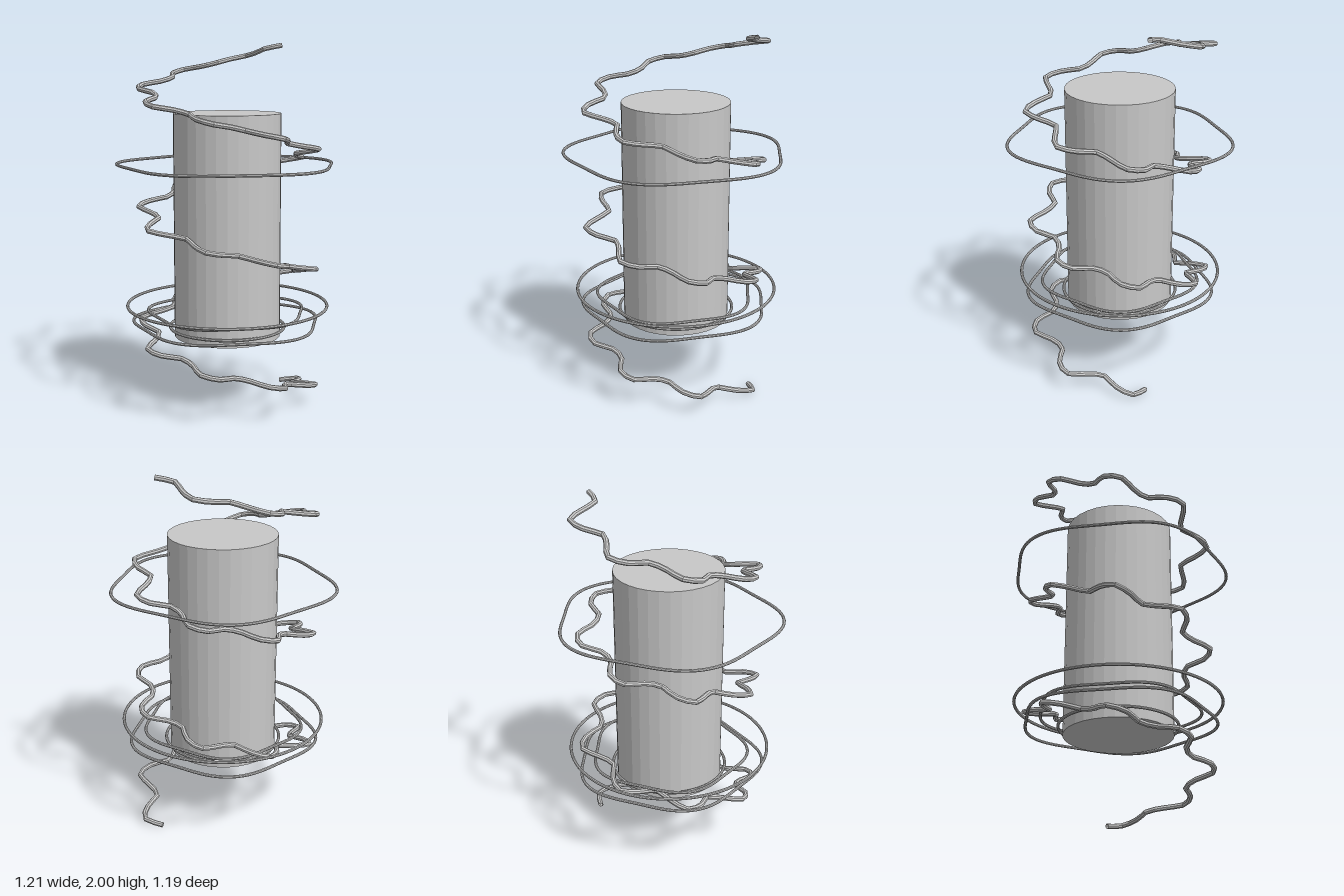
import * as THREE from 'three';

const CENTER_Z = -0.025;

// closed horizontal loop whose radius swells gently in five lobes (one lobe to the front)
function ringCurve(radius, lobe) {
  const pts = [];
  for (let i = 0; i < 60; i++) {
    const a = (i / 60) * Math.PI * 2;
    const r = radius + lobe * Math.cos(5 * a);
    pts.push(new THREE.Vector3(r * Math.sin(a), 0, r * Math.cos(a)));
  }
  return new THREE.CatmullRomCurve3(pts, true);
}

// rising coil of three turns, with eight waves in each turn
function coilCurve() {
  const pts = [];
  const n = 100;
  for (let i = 0; i <= n; i++) {
    const t = i / n;
    const a = t * Math.PI * 6;
    const r = 0.442 + 0.062 * Math.sin(8 * a);
    pts.push(new THREE.Vector3(r * Math.cos(a), 0.014 + 1.972 * t, r * Math.sin(a)));
  }
  return new THREE.CatmullRomCurve3(pts);
}

export function createModel() {
  const model = new THREE.Group();
  model.name = 'coiledColumn';
  const grey = new THREE.MeshStandardMaterial({ color: 0xc8c8c8, flatShading: true, side: THREE.DoubleSide });
  grey.name = 'lightGrey';

  const add = (name, geometry, y) => {
    const mesh = new THREE.Mesh(geometry, grey);
    mesh.name = name;
    mesh.position.set(0, y, CENTER_Z);
    model.add(mesh);
  };

  // central column
  add('column', new THREE.CylinderGeometry(0.295, 0.295, 1.237, 32), 1.0015);

  // wavy coil around the column
  add('coil', new THREE.TubeGeometry(coilCurve(), 200, 0.0145, 8, false), 0);

  // thin rings: height, radius, lobe depth
  const rings = [
    [0.432, 0.319, 0],
    [0.458, 0.508, 0.023],
    [0.518, 0.427, 0.02],
    [0.558, 0.555, 0],
    [1.34, 0.587, 0.026],
  ];
  rings.forEach(([y, radius, lobe], i) => {
    add('ring' + (i + 1), new THREE.TubeGeometry(ringCurve(radius, lobe), 100, 0.0085, 8, true), y);
  });

  return model;
}
